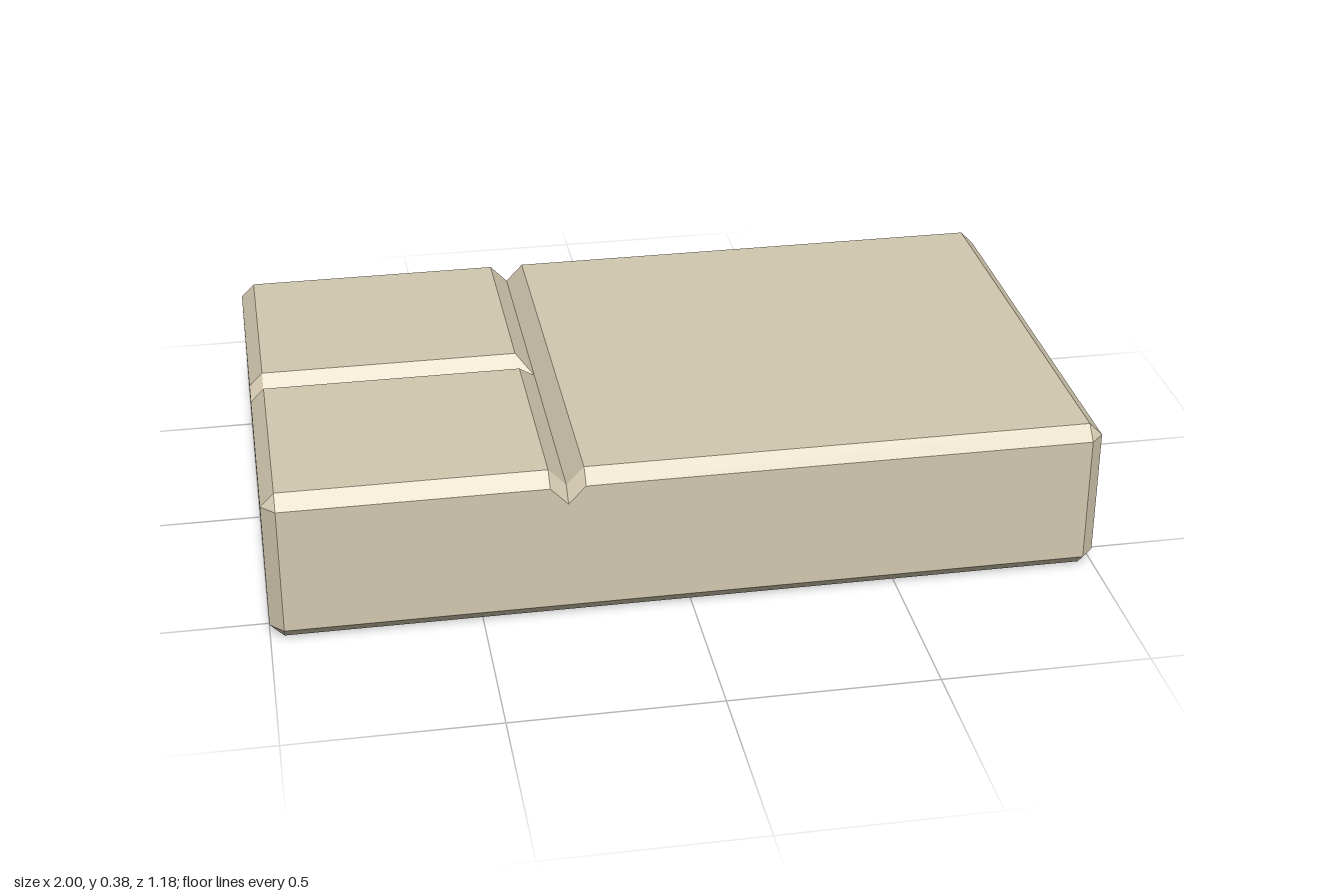
import * as THREE from 'three';

const HX = 1, HZ = 0.592, TOP = 0.385;   // half length, half width, height
const BEVEL = 0.033;                     // chamfer on all outer edges
const GX = -0.295, GW = 0.042, GD = 0.044; // groove position, half width, depth
const IX = HX - BEVEL, IZ = HZ - BEVEL;

// Breakpoints of the top surface: edges, chamfers and grooves
const XS = [-HX, -IX, GX - GW, GX, GX + GW, IX, HX];
const ZS = [-HZ, -IZ, -GW, 0, GW, IZ, HZ];
const LAST = 6;

// Top point: grooves cut into the slab, with the outer rim dropped by the chamfer
function topPoint(i, j) {
  const cross = i === 3 || (i < 3 && j === 3);
  const rim = i === 0 || i === LAST || j === 0 || j === LAST;
  return [XS[i], TOP - (cross ? GD : 0) - (rim ? BEVEL : 0), ZS[j]];
}

function flatMesh(name, triangles, material) {
  const geometry = new THREE.BufferGeometry();
  geometry.setAttribute('position', new THREE.Float32BufferAttribute(triangles.flat(2), 3));
  geometry.computeVertexNormals();
  const mesh = new THREE.Mesh(geometry, material);
  mesh.name = name;
  return mesh;
}

const quad = (a, b, c, d) => [[a, b, c], [a, c, d]];

export function createModel() {
  const group = new THREE.Group();
  group.name = 'groovedSlab';
  const stone = new THREE.MeshStandardMaterial({ color: 0xd2c8af });
  stone.name = 'sandstone';

  // Top with T-shaped V grooves; the four corner cells become single triangles
  const top = [];
  for (let i = 0; i < LAST; i++) {
    for (let j = 0; j < LAST; j++) {
      const cell = [[i, j], [i, j + 1], [i + 1, j + 1], [i + 1, j]];
      const kept = cell
        .filter(([u, v]) => !(u % LAST === 0 && v % LAST === 0))
        .map(([u, v]) => topPoint(u, v));
      if (kept.length === 3) top.push(kept);
      else if (j < 3) top.push(...quad(...kept));
      else top.push(...quad(kept[1], kept[2], kept[3], kept[0])); // mirrored mitre
    }
  }
  group.add(flatMesh('groovedTop', top, stone));

  // Perimeter of the top, with cut corners
  const ring = [];
  for (let k = 1; k < LAST; k++) ring.push(topPoint(k, LAST));
  for (let k = LAST - 1; k > 0; k--) ring.push(topPoint(LAST, k));
  for (let k = LAST - 1; k > 0; k--) ring.push(topPoint(k, 0));
  for (let k = 1; k < LAST; k++) ring.push(topPoint(0, k));

  // Side walls and the chamfer below them
  const lower = ([x, , z]) => [x, BEVEL, z];
  const inset = ([x, , z]) => [
    THREE.MathUtils.clamp(x, -IX, IX), 0, THREE.MathUtils.clamp(z, -IZ, IZ),
  ];
  const walls = [], foot = [];
  ring.forEach((p, k) => {
    const q = ring[(k + 1) % ring.length];
    walls.push(...quad(lower(p), lower(q), q, p));
    const corner = p[0] !== q[0] && p[2] !== q[2];
    if (corner) foot.push([inset(p), lower(q), lower(p)]);
    else foot.push(...quad(inset(p), inset(q), lower(q), lower(p)));
  });
  group.add(flatMesh('sideWalls', walls, stone));
  group.add(flatMesh('lowerChamfer', foot, stone));

  // Underside
  group.add(flatMesh('underside',
    quad([-IX, 0, -IZ], [IX, 0, -IZ], [IX, 0, IZ], [-IX, 0, IZ]), stone));
  return group;
}
